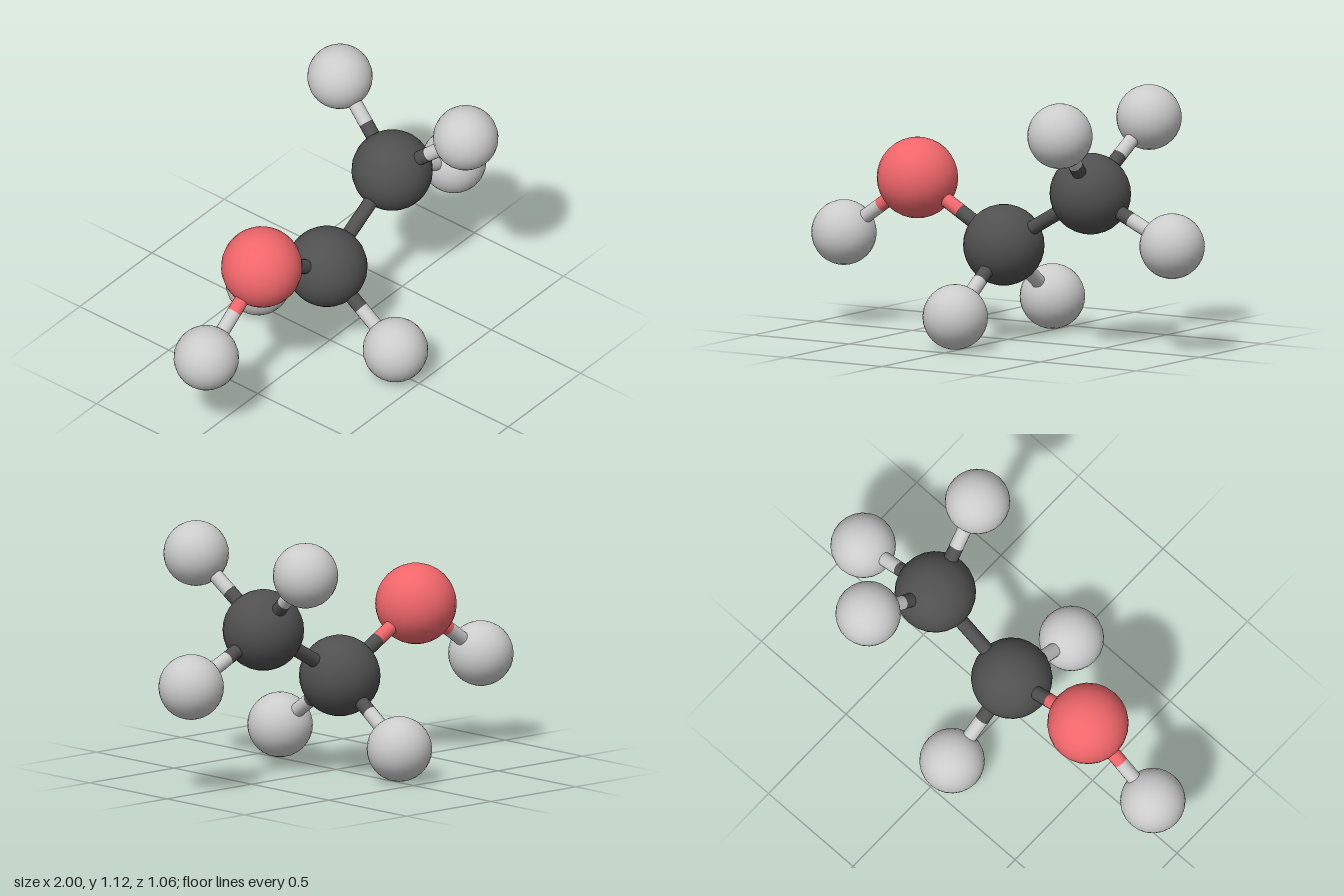
import * as THREE from 'three';

const BOND_RADIUS = 0.032;

export function createModel() {
  const model = new THREE.Group();
  const up = new THREE.Vector3(0, 1, 0);

  const kinds = {
    hydrogen: { radius: 0.143, material: new THREE.MeshStandardMaterial({ color: 0xcccccc }) },
    carbon: { radius: 0.178, material: new THREE.MeshStandardMaterial({ color: 0x505050 }) },
    oxygen: { radius: 0.178, material: new THREE.MeshStandardMaterial({ color: 0xf0666a }) },
  };
  for (const kind of Object.values(kinds)) {
    kind.geometry = new THREE.SphereGeometry(kind.radius, 24, 16);
  }

  // An atom is a ball at its centre
  function atom(name, kind, x, y, z = 0) {
    const mesh = new THREE.Mesh(kinds[kind].geometry, kinds[kind].material);
    mesh.name = name;
    mesh.position.set(x, y, z);
    model.add(mesh);
    return { name, kind, position: mesh.position };
  }

  // Half a bond, from the atom's centre to the middle of the bond
  function halfBond(from, to) {
    const half = to.position.clone().sub(from.position).multiplyScalar(0.5);
    const geometry = new THREE.CylinderGeometry(BOND_RADIUS, BOND_RADIUS, half.length(), 16);
    const mesh = new THREE.Mesh(geometry, kinds[from.kind].material);
    mesh.name = `${from.name}HalfBond`;
    mesh.position.copy(from.position).addScaledVector(half, 0.5);
    mesh.quaternion.setFromUnitVectors(up, half.normalize());
    model.add(mesh);
  }

  // Each half of a bond takes the colour of its own atom
  function bond(a, b) {
    halfBond(a, b);
    halfBond(b, a);
  }

  // Zigzag chain in the middle plane
  const chain = [
    atom('hydroxylHydrogen', 'hydrogen', -0.857, 0.405),
    atom('oxygen', 'oxygen', -0.473, 0.676),
    atom('middleCarbon', 'carbon', -0.022, 0.415),
    atom('endCarbon', 'carbon', 0.43, 0.676),
    atom('endHydrogen', 'hydrogen', 0.857, 0.478),
  ];
  for (let i = 1; i < chain.length; i++) bond(chain[i - 1], chain[i]);

  // Mirrored hydrogen pairs in front and behind
  for (const [side, s] of [['front', 1], ['back', -1]]) {
    bond(chain[2], atom(`${side}LowerHydrogen`, 'hydrogen', -0.022, 0.143, s * 0.385));
    bond(chain[3], atom(`${side}UpperHydrogen`, 'hydrogen', 0.504, 0.977, s * 0.353));
  }

  return model;
}
